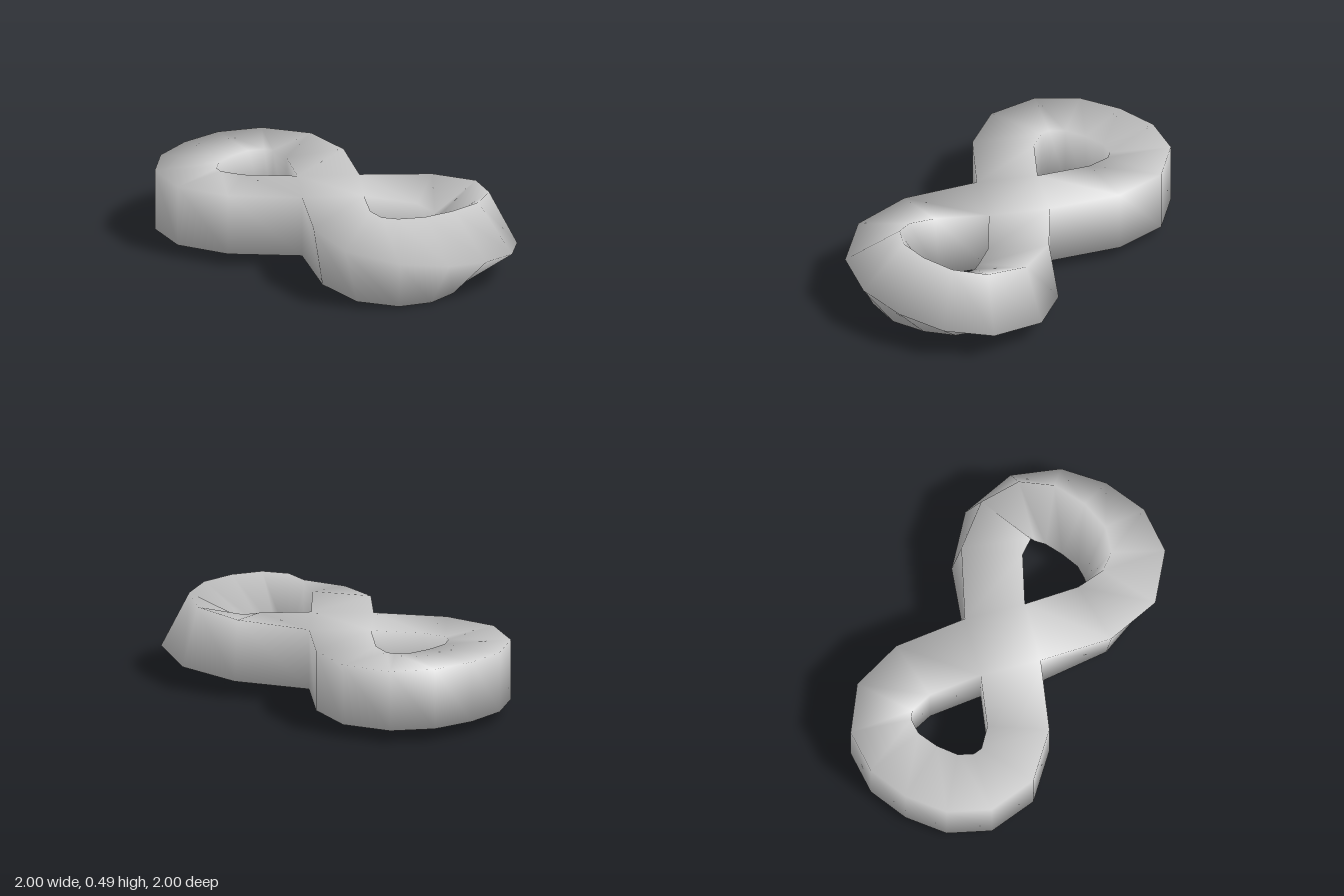
import * as THREE from 'three';
import { mergeVertices } from 'three/addons/utils/BufferGeometryUtils.js';

const HALF = 0.175;                 // half the side of the square section
const RADIUS = HALF * Math.SQRT2;   // centre of section to its corner
const CENTRE = new THREE.Vector3(-0.03, 0.255, -0.03);
const rad = THREE.MathUtils.degToRad;

// Half of one loop's centreline from the crossing: x, z, heading in degrees
const half = [
  [HALF, 0, 0], [0.535, 0.05, 18], [0.73, 0.165, 48],
  [0.795, 0.325, 88], [0.76, 0.495, 115], [0.645, 0.645, 135],
];
// The other half is the same path with x and z swapped
const path = [...half, ...half.slice(0, -1).reverse().map(([x, z, a]) => [z, x, 270 - a])];

// Square rings along one loop; side flips the loop, twist turns the section
function makeRings(side, twist) {
  return path.map(([x, z, a], i) => {
    const turn = twist * i / (path.length - 1);
    return [0, 1, 2, 3].map((k) => {
      const phi = rad(45 + 90 * k + turn);
      const out = RADIUS * Math.cos(phi);
      return new THREE.Vector3(
        side * (x + out * Math.sin(rad(a))),
        RADIUS * Math.sin(phi),
        side * (z - out * Math.cos(rad(a))),
      ).add(CENTRE);
    });
  });
}

export function createModel() {
  const points = [];
  const quad = (a, b, c, d) => points.push(a, b, c, a, c, d);

  // Plain back-left loop and front-right loop with a quarter twist
  for (const [side, twist] of [[-1, 0], [1, 90]]) {
    const rings = makeRings(side, twist);
    for (let i = 0; i < rings.length - 1; i++) {
      for (let k = 0; k < 4; k++) {
        const n = (k + 1) % 4;
        quad(rings[i][k], rings[i][n], rings[i + 1][n], rings[i + 1][k]);
      }
    }
  }

  // Top and bottom of the crossing
  const corner = (x, y, z) => new THREE.Vector3(x, y, z).multiplyScalar(HALF).add(CENTRE);
  quad(corner(-1, 1, -1), corner(-1, 1, 1), corner(1, 1, 1), corner(1, 1, -1));
  quad(corner(-1, -1, -1), corner(1, -1, -1), corner(1, -1, 1), corner(-1, -1, 1));

  // Weld everything into one smooth skin
  const geometry = mergeVertices(new THREE.BufferGeometry().setFromPoints(points), 1e-4);
  geometry.computeVertexNormals();

  const mesh = new THREE.Mesh(geometry, new THREE.MeshStandardMaterial({ color: 0xcccccc }));
  mesh.name = 'twistedFigureEight';
  const group = new THREE.Group();
  group.name = 'figureEight';
  group.add(mesh);
  return group;
}
